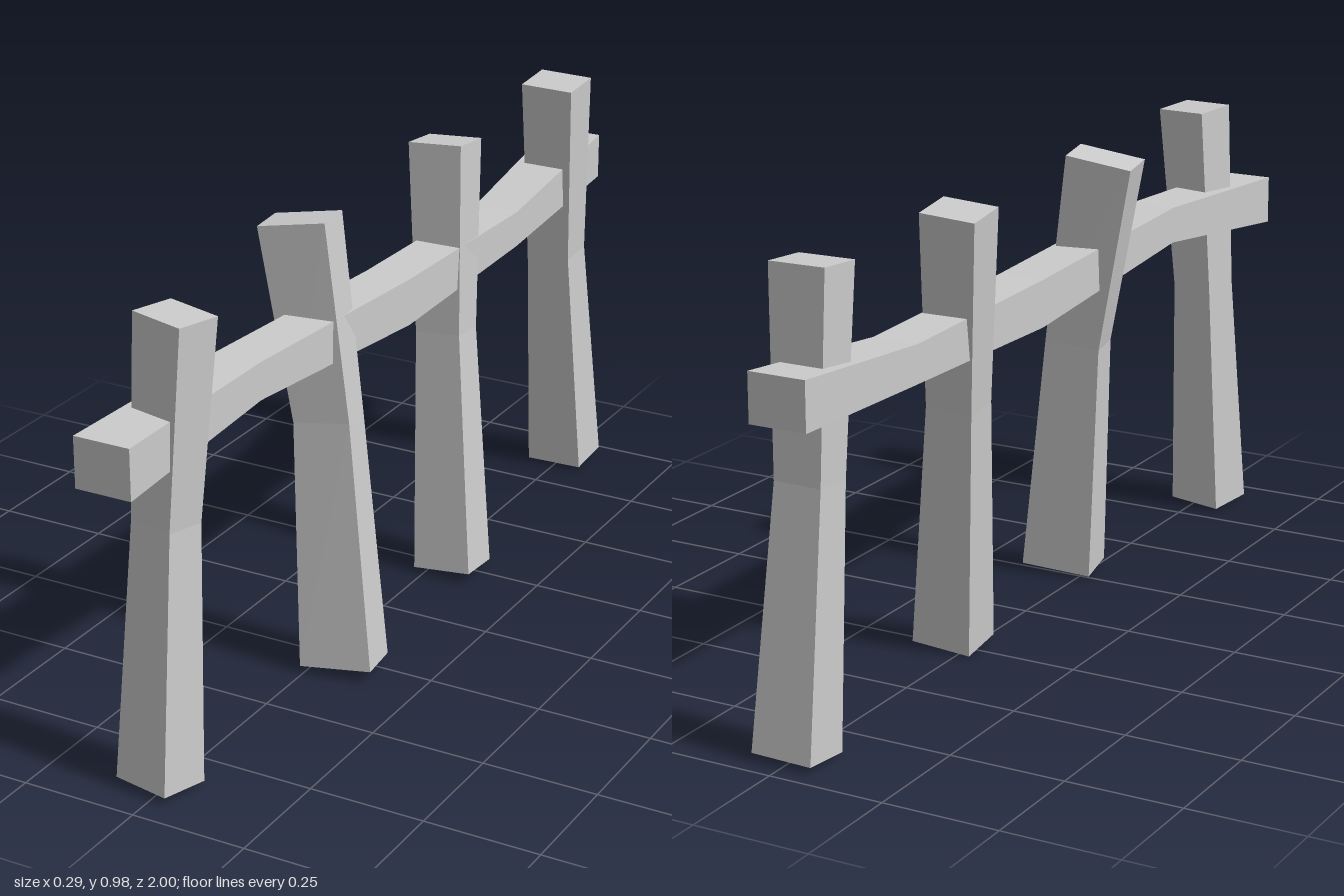
import * as THREE from 'three';

const material = new THREE.MeshStandardMaterial({ color: 0xcccccc, flatShading: true, side: THREE.DoubleSide });

// Skins a list of four-cornered rings; corners run counter-clockwise seen from the end.
function loft(name, rings, capStart) {
  const pos = [];
  const quad = (a, b, c, d) => [a, b, c, a, c, d].forEach((p) => pos.push(...p));
  for (let i = 0; i < rings.length - 1; i++) {
    for (let j = 0; j < 4; j++) {
      const k = (j + 1) % 4;
      quad(rings[i][j], rings[i][k], rings[i + 1][k], rings[i + 1][j]);
    }
  }
  quad(...rings[rings.length - 1]);
  if (capStart) quad(...[...rings[0]].reverse());
  const geometry = new THREE.BufferGeometry();
  geometry.setAttribute('position', new THREE.Float32BufferAttribute(pos, 3));
  geometry.computeVertexNormals();
  const mesh = new THREE.Mesh(geometry, material);
  mesh.name = name;
  return mesh;
}

const corners = [[-1, 1], [1, 1], [1, -1], [-1, -1]];

// A bent post: three centres (foot, waist, top), narrowed at the waist, open underneath.
function post(name, { path, width, depth, turn }) {
  const scale = [1.08, 0.84, 1];
  const c = Math.cos(turn), s = Math.sin(turn);
  const rings = path.map(([x, y, z], i) => {
    // Tilt each ring square to the direction of the post.
    const a = path[Math.max(i - 1, 0)], b = path[Math.min(i + 1, 2)];
    const sx = (b[0] - a[0]) / (b[1] - a[1]), sz = (b[2] - a[2]) / (b[1] - a[1]);
    return corners.map(([u, v]) => {
      const ox = u * width * scale[i] / 2, oz = v * depth * scale[i] / 2;
      const dx = ox * c - oz * s, dz = ox * s + oz * c;
      return [x + dx, y - sx * dx - sz * dz, z + dz];
    });
  });
  return loft(name, rings, false);
}

export function createModel() {
  const group = new THREE.Group();
  group.name = 'fence';

  // Posts, from back to front
  const posts = [
    { path: [[0, 0.012, -0.904], [-0.012, 0.55, -0.857], [-0.007, 0.97, -0.828]], width: 0.124, depth: 0.104, turn: 0 },
    { path: [[0.043, 0.012, -0.238], [-0.005, 0.55, -0.291], [-0.036, 0.967, -0.338]], width: 0.124, depth: 0.104, turn: -0.04 },
    { path: [[0.06, 0.017, 0.283], [0.008, 0.55, 0.25], [-0.062, 0.966, 0.238]], width: 0.145, depth: 0.1, turn: -0.16 },
    { path: [[-0.018, 0.01, 0.873], [-0.017, 0.55, 0.825], [0.003, 0.97, 0.804]], width: 0.122, depth: 0.102, turn: 0.21 },
  ];
  posts.forEach((p, i) => group.add(post(`post${i + 1}`, p)));

  // Wavy rail: z, left and right x, bottom and top y
  const rail = [
    [-1, -0.1, 0.025, 0.694, 0.796],
    [-0.55, -0.067, 0.036, 0.667, 0.748],
    [-0.04, -0.064, 0.04, 0.657, 0.76],
    [0.56, -0.067, 0.037, 0.71, 0.79],
    [1, -0.1, 0.023, 0.67, 0.777],
  ].map(([z, x0, x1, y0, y1]) => [[x0, y0, z], [x1, y0, z], [x1, y1, z], [x0, y1, z]]);
  group.add(loft('rail', rail, true));

  return group;
}
